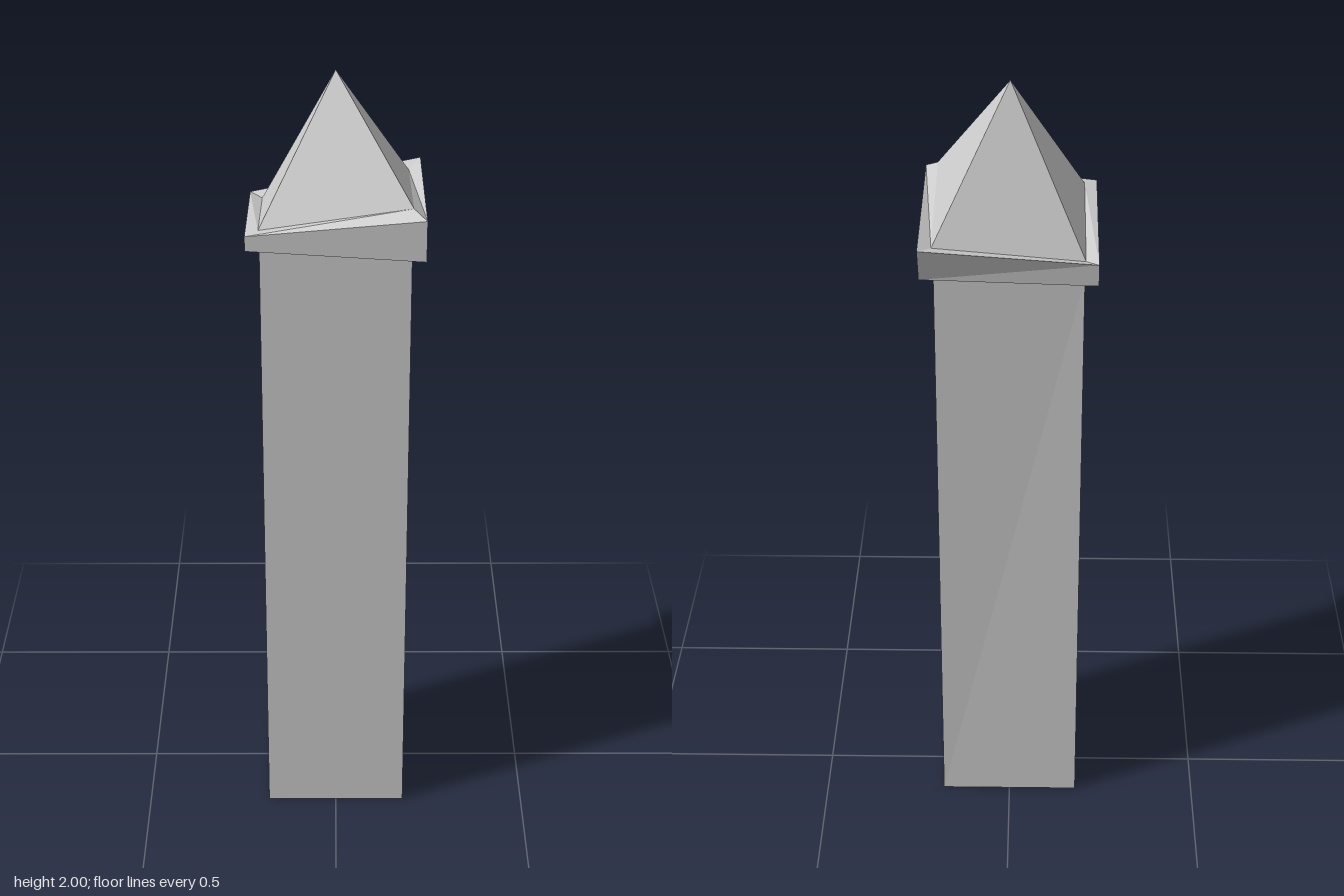
import * as THREE from 'three';

const material = new THREE.MeshStandardMaterial({ color: 0xcccccc, flatShading: true });

// Four-cornered ring: front -x, front +x, back +x, back -x
const ring = (x, zFront, zBackPos, zBackNeg, heights) => [
  [-x, heights[0], zFront],
  [x, heights[1], zFront],
  [x, heights[2], zBackPos],
  [-x, heights[3], zBackNeg],
];

// Skin a stack of rings from bottom to top
function loft(name, rings, closeBottom = false) {
  const index = [];
  for (let r = 0; r < rings.length - 1; r++) {
    for (let i = 0; i < 4; i++) {
      const a = r * 4 + i, b = r * 4 + (i + 1) % 4;
      index.push(a, b, b + 4, a, b + 4, a + 4);
    }
  }
  if (closeBottom) index.push(0, 2, 1, 0, 3, 2);
  const indexed = new THREE.BufferGeometry();
  indexed.setAttribute('position', new THREE.Float32BufferAttribute(rings.flat(2), 3));
  indexed.setIndex(index);
  const geometry = indexed.toNonIndexed();
  geometry.computeVertexNormals();
  const mesh = new THREE.Mesh(geometry, material);
  mesh.name = name;
  return mesh;
}

export function createModel() {
  const group = new THREE.Group();
  group.name = 'tower';

  const shaftBase = ring(0.18, 0.2, -0.13, -0.13, [0, 0, 0, 0]);
  const shaftTop = ring(0.18, 0.2, -0.15, -0.13, [1.613, 1.597, 1.59, 1.565]);
  const eaveLow = ring(0.213, 0.228, -0.185, -0.158, [1.625, 1.597, 1.587, 1.56]);
  const eaveHigh = ring(0.213, 0.228, -0.23, -0.162, [1.662, 1.7, 1.682, 1.617]);
  const roofBase = ring(0.182, 0.2, -0.182, -0.133, [1.666, 1.72, 1.668, 1.612]);
  const apex = Array(4).fill([0, 2, 0.033]);

  // Square shaft, crooked overhanging collar, pointed roof
  group.add(
    loft('shaft', [shaftBase, shaftTop], true),
    loft('collar', [shaftTop, eaveLow, eaveHigh, roofBase]),
    loft('roof', [roofBase, apex]),
  );
  return group;
}
